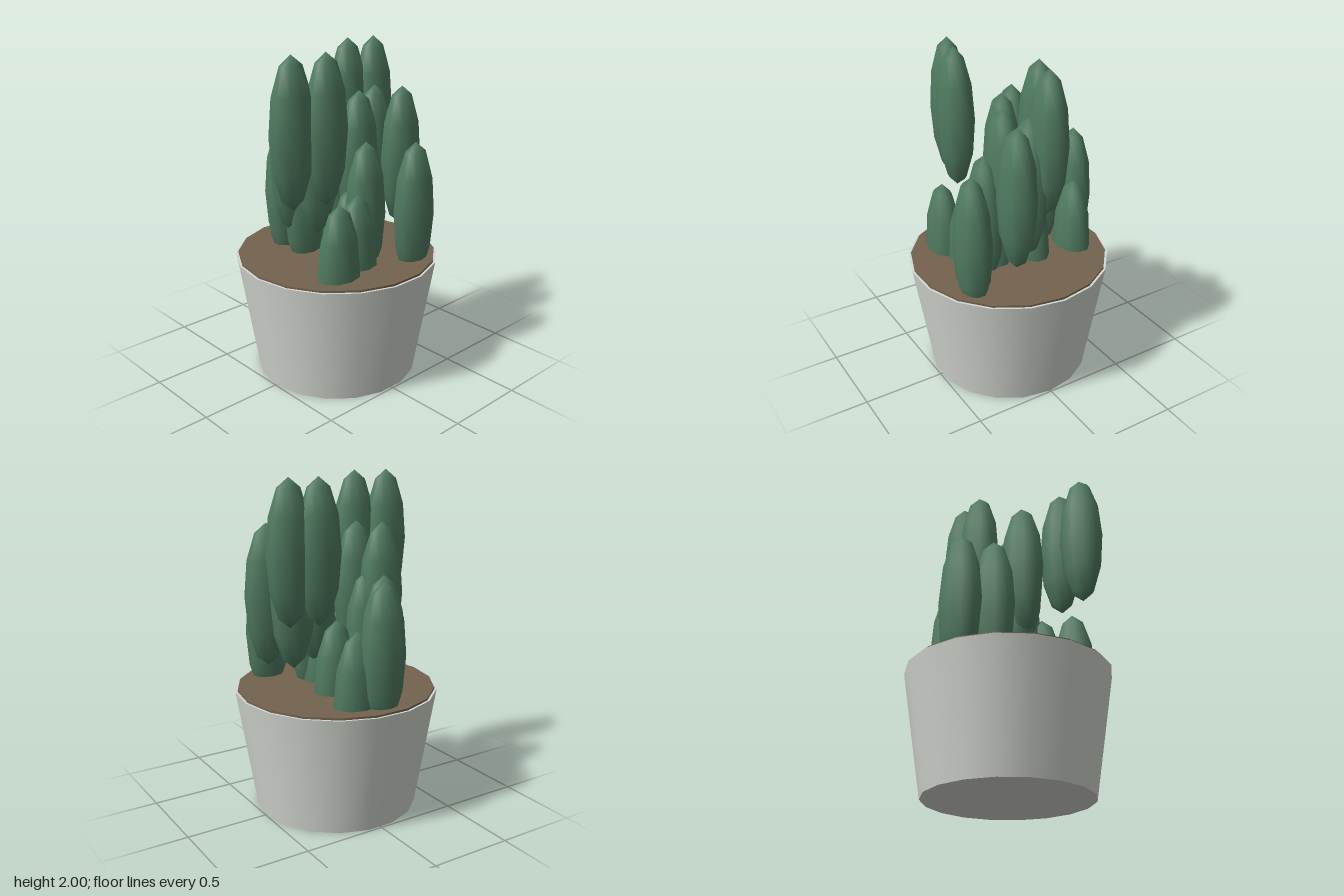
import * as THREE from 'three';

const flat = (name, color) => {
  const m = new THREE.MeshStandardMaterial({ color });
  m.name = name;
  return m;
};

export function createModel() {
  const group = new THREE.Group();
  group.name = 'pottedCactus';
  const ceramic = flat('pale grey ceramic', 0xd4d8d1);
  const earth = flat('brown soil', 0x74624f);
  const green = flat('cactus green', 0x507b60);

  const add = (name, geometry, material, x, y, z) => {
    const mesh = new THREE.Mesh(geometry, material);
    mesh.name = name;
    mesh.position.set(x, y, z);
    group.add(mesh);
    return mesh;
  };

  // Tapered pot and the soil disc that stands slightly proud of its rim
  add('pot', new THREE.CylinderGeometry(0.61, 0.492, 0.735, 18), ceramic, 0, 0.3675, 0);
  add('soil', new THREE.CylinderGeometry(0.596, 0.596, 0.03, 18), earth, 0, 0.732, 0);

  // Long oval pads in four tiers; each tier lists [x, z] positions
  const pad = new THREE.SphereGeometry(1, 10, 6);
  pad.scale(0.104, 0.425, 0.14);
  const tiers = [
    { y: 0.75, at: [[-0.39, -0.11], [-0.115, -0.07], [0.12, 0.0], [0.25, 0.07], [0.305, 0.26]] },
    { y: 1.03, at: [[-0.47, 0.015], [-0.31, 0.125], [-0.135, 0.13], [0.195, -0.05], [0.39, -0.255]] },
    { y: 1.305, at: [[-0.155, 0.215], [-0.03, 0.12], [0.09, -0.09], [0.035, -0.27], [0.17, -0.365]] },
    { y: 1.575, at: [[0.14, 0.45], [0.2, 0.26], [-0.09, -0.17], [-0.045, -0.335]] },
  ];
  tiers.forEach(({ y, at }, t) =>
    at.forEach(([x, z], i) => add(`padTier${t + 1}_${i + 1}`, pad, green, x, y, z)));

  return group;
}
